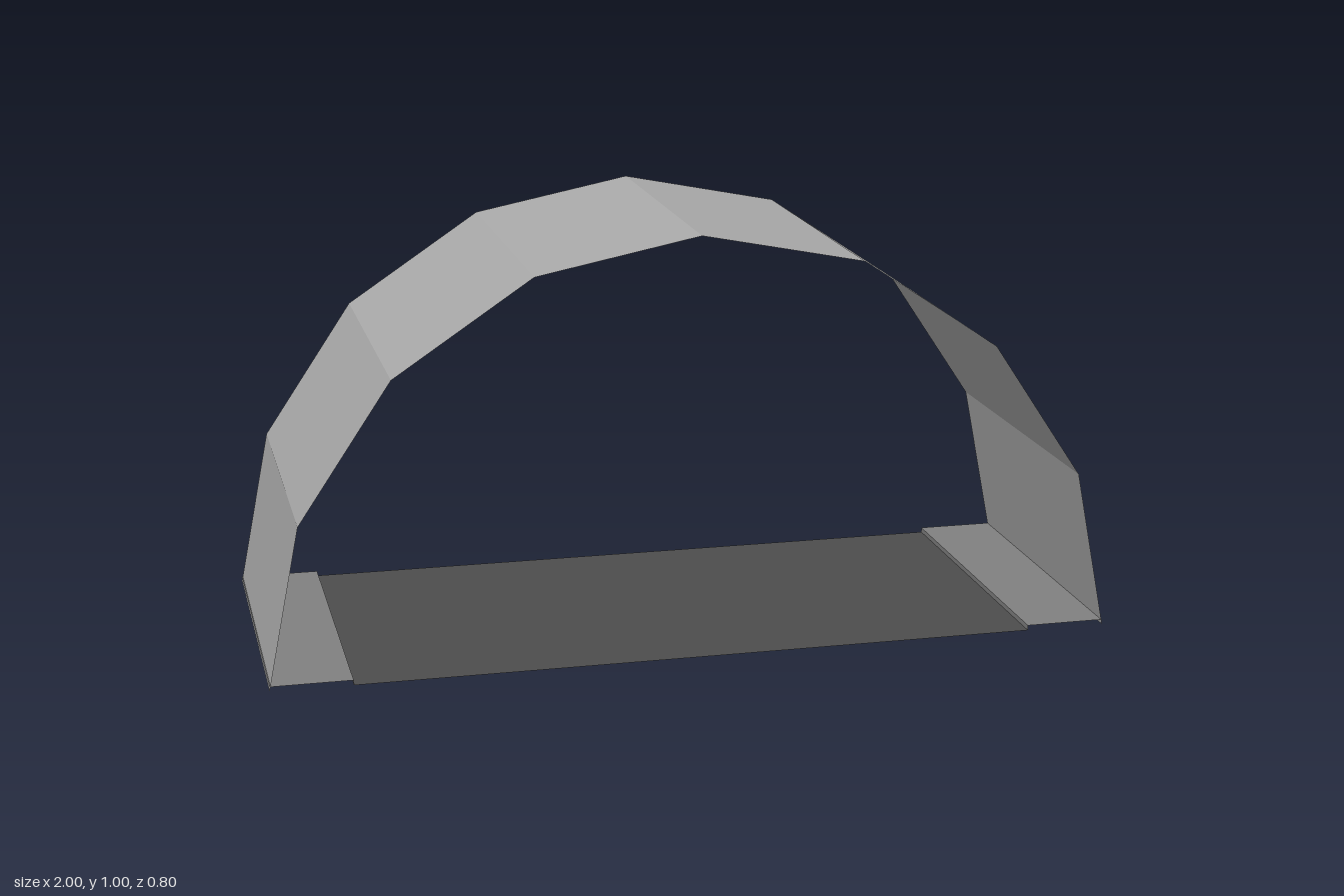
import * as THREE from 'three';

const HALF_DEPTH = 0.4;

function material(name, color) {
  const m = new THREE.MeshStandardMaterial({ color, flatShading: true, side: THREE.DoubleSide });
  m.name = name;
  return m;
}

// Thin sheet: a profile in x, y swept straight along z.
function sheet(name, profile, mat) {
  const pos = [];
  for (let i = 0; i < profile.length - 1; i++) {
    const [ax, ay] = profile[i];
    const [bx, by] = profile[i + 1];
    const d = HALF_DEPTH;
    pos.push(ax, ay, d, bx, by, d, bx, by, -d);
    pos.push(ax, ay, d, bx, by, -d, ax, ay, -d);
  }
  const geo = new THREE.BufferGeometry();
  geo.setAttribute('position', new THREE.Float32BufferAttribute(pos, 3));
  geo.computeVertexNormals();
  const mesh = new THREE.Mesh(geo, mat);
  mesh.name = name;
  return mesh;
}

export function createModel() {
  const group = new THREE.Group();
  group.name = 'tunnelSection';

  const wall = material('wall grey', 0xaaaaaa);
  const kerb = material('kerb grey', 0x808080);
  const road = material('road dark grey', 0x4d4d4d);

  // Half-round vault in eight flat panels, from right to left
  const arch = [];
  for (let i = 0; i <= 8; i++) {
    const a = Math.PI * (1 - i / 8);
    arch.push([Math.cos(a), Math.sin(a)]);
  }
  group.add(sheet('vault', arch, wall));

  // Road between two slightly raised kerbs
  const inner = 0.81, step = 0.012;
  group.add(sheet('road', [[-inner, 0], [inner, 0]], road));
  group.add(sheet('rightKerb', [[-1, step], [-inner, step], [-inner, 0]], kerb));
  group.add(sheet('leftKerb', [[inner, 0], [inner, step], [1, step]], kerb));

  return group;
}
